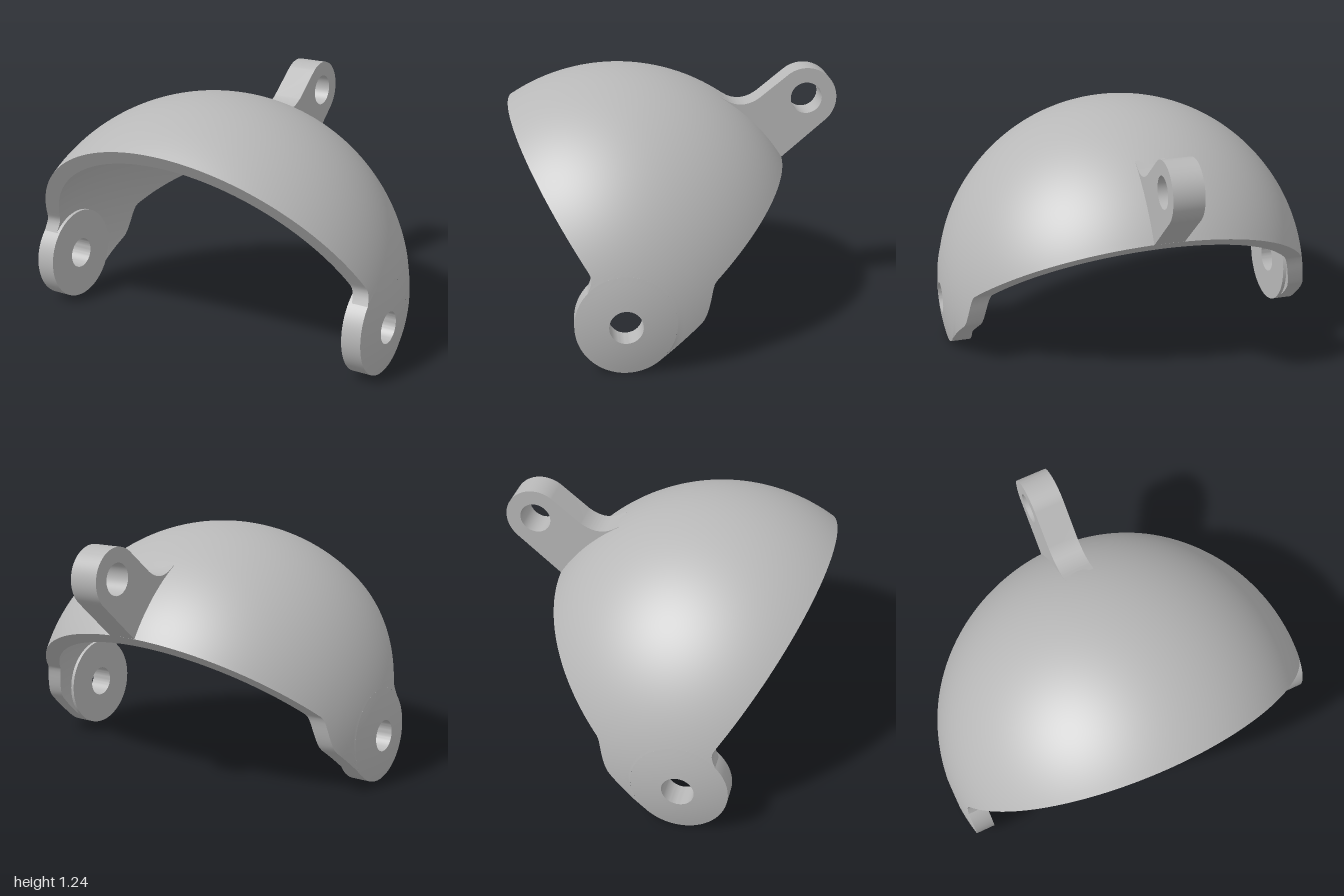
import * as THREE from 'three';
import { toCreasedNormals } from 'three/addons/utils/BufferGeometryUtils.js';

const CY = 0.24, CZ = 0.29;            // centre of the sphere and the pivot axis
const R_OUT = 1, R_IN = 0.92;          // shell radii
const BOSS_R = 0.24, HOLE_R = 0.08, PAD_X = 0.87;
const BACK = THREE.MathUtils.degToRad(50.2), FRONT = THREE.MathUtils.degToRad(33.2);

// Trim angles of the shell, as a function of distance from the pivot axis
const frontAngle = (rho) =>
  FRONT + 0.236 * Math.pow(Math.max(0, 1 - (rho - BOSS_R) / 0.08), 4);
const backAngle = (rho) => {
  const offset = BOSS_R - 0.099 * THREE.MathUtils.smoothstep(rho, 0.355, 0.46);
  return -(BACK + Math.asin(Math.min(1, offset / rho)));
};

// Closed cross-sections (outer arc, then inner arc back) swept from side to side
function shellGeometry() {
  const rows = 180, cols = 48, ring = 2 * (cols + 1);
  const limit = Math.acos(BOSS_R);
  const pos = [], index = [];
  for (let i = 0; i <= rows; i++) {
    const a = limit * (2 * i / rows - 1);
    const rhoOut = Math.cos(a);
    const rhoIn = rhoOut < 0.5 ? rhoOut : 0.5 + (rhoOut - 0.5) * (R_IN - 0.5) / 0.5;
    const add = (rho, radius, t) => {
      const phi = THREE.MathUtils.lerp(frontAngle(rho), backAngle(rho), t);
      const x = Math.sign(a) * Math.sqrt(Math.max(0, radius * radius - rho * rho));
      pos.push(x, CY + rho * Math.cos(phi), CZ + rho * Math.sin(phi));
    };
    for (let j = 0; j <= cols; j++) add(rhoOut, R_OUT, j / cols);
    for (let j = cols; j >= 0; j--) add(rhoIn, R_IN, j / cols);
  }
  for (let i = 0; i < rows; i++) {
    for (let j = 0; j < ring; j++) {
      const k = (j + 1) % ring;
      const a = i * ring + j, b = a + ring, c = i * ring + k, d = c + ring;
      index.push(a, b, c, b, d, c);
    }
  }
  const geo = new THREE.BufferGeometry();
  geo.setAttribute('position', new THREE.Float32BufferAttribute(pos, 3));
  geo.setIndex(index);
  return toCreasedNormals(geo, 0.6);
}

// Round pivot boss: flat inside, spherical outside, drilled through
function bossGeometry(side) {
  const pts = [new THREE.Vector2(BOSS_R, PAD_X)];
  for (let i = 0; i <= 6; i++) {
    const r = THREE.MathUtils.lerp(BOSS_R, HOLE_R, i / 6);
    pts.push(new THREE.Vector2(r, Math.sqrt(R_OUT * R_OUT - r * r)));
  }
  pts.push(new THREE.Vector2(HOLE_R, PAD_X), pts[0].clone());
  const geo = new THREE.LatheGeometry(pts, 64);
  geo.rotateZ(-side * Math.PI / 2);
  return toCreasedNormals(geo, 0.6);
}

// Rear lug, drawn in the z-y plane and extruded across x
function lugGeometry() {
  const cz = -0.68, cy = 1.075, r = 0.155, width = 0.155;
  const shape = new THREE.Shape();
  shape.moveTo(-0.545, 0.752);
  shape.lineTo(-0.42, 0.90);
  shape.lineTo(-0.22, 1.06);
  shape.lineTo(-0.24, 1.086);
  shape.lineTo(-0.285, 1.06);
  shape.bezierCurveTo(-0.34, 1.035, -0.39, 1.045, -0.44, 1.08);
  const start = THREE.MathUtils.degToRad(50), end = THREE.MathUtils.degToRad(230);
  shape.lineTo(cz + r * Math.cos(start), cy + r * Math.sin(start));
  shape.absarc(cz, cy, r, start, end, false);
  shape.closePath();
  const hole = new THREE.Path();
  hole.absarc(cz, cy, HOLE_R, 0, Math.PI * 2, true);
  shape.holes.push(hole);
  const geo = new THREE.ExtrudeGeometry(shape, { depth: width, bevelEnabled: false, curveSegments: 24 });
  geo.translate(0, 0, -width / 2);
  geo.rotateY(-Math.PI / 2);
  return toCreasedNormals(geo, 0.5);
}

export function createModel() {
  const group = new THREE.Group();
  group.name = 'pivotingDomeShell';
  const grey = new THREE.MeshStandardMaterial({ color: 0xb8b8b8 });
  grey.name = 'grey';

  const add = (name, geo) => {
    const mesh = new THREE.Mesh(geo, grey);
    mesh.name = name;
    group.add(mesh);
    return mesh;
  };

  add('domeShell', shellGeometry());
  for (const [name, side] of [['leftPivotBoss', 1], ['rightPivotBoss', -1]]) {
    add(name, bossGeometry(side)).position.set(0, CY, CZ);
  }
  add('rearLug', lugGeometry());
  return group;
}
